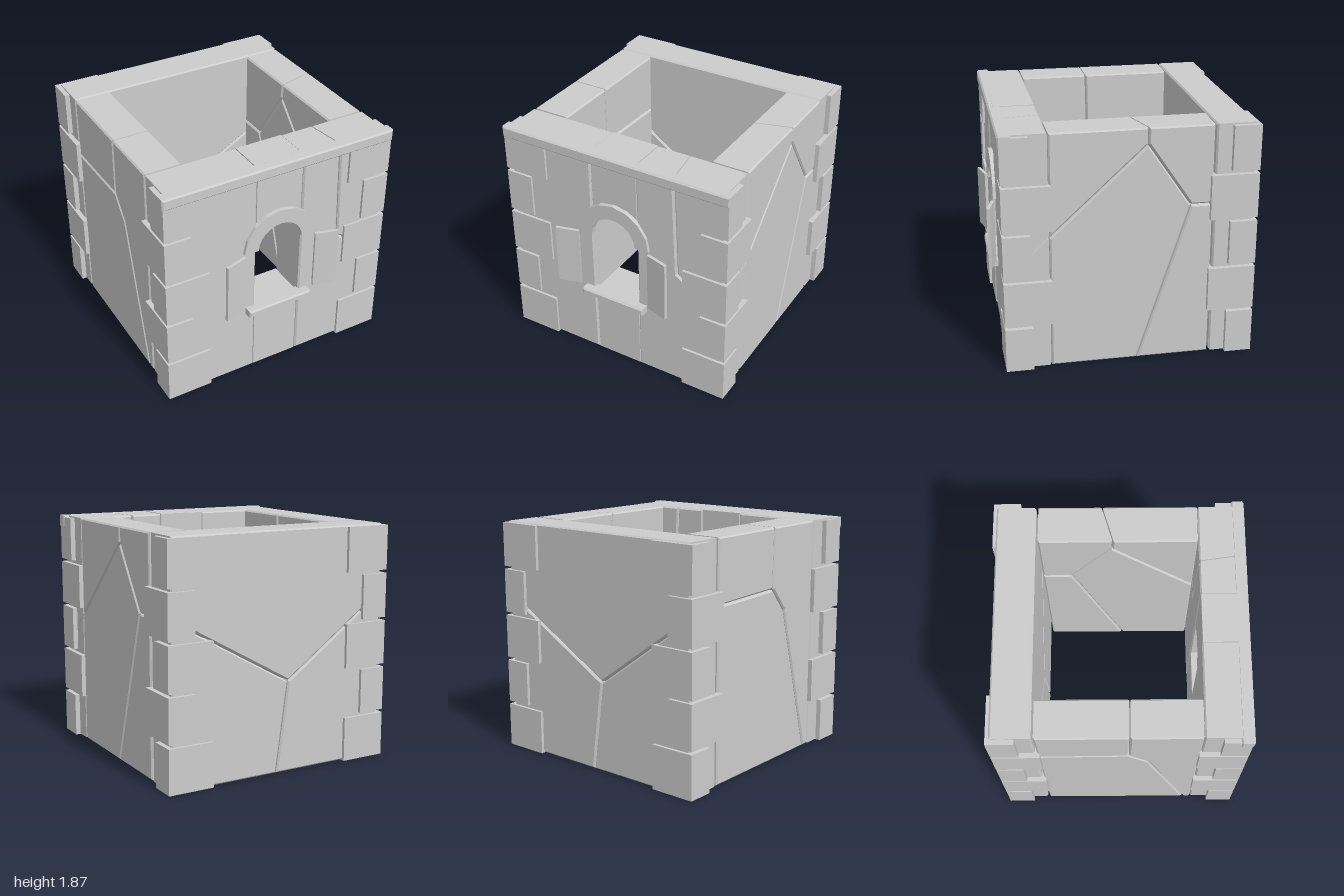
import * as THREE from 'three';

const stone = new THREE.MeshStandardMaterial({ color: 0xcccccc });
stone.name = 'grey stone';

// Shrink a counter-clockwise polygon by d with mitred corners
function inset(pts, d) {
  const n = pts.length;
  return pts.map((p, i) => {
    const a = p.clone().sub(pts[(i + n - 1) % n]).normalize();
    const b = pts[(i + 1) % n].clone().sub(p).normalize();
    const k = d / Math.max(0.3, 1 + a.dot(b));
    return new THREE.Vector2(p.x - (a.y + b.y) * k, p.y + (a.x + b.x) * k);
  });
}

// Bevelled stone slab: points are [u, v] or [u, v, uInner, vInner], depth runs from z0 (inside) to z1 (outside)
function slab(name, points, z0, z1, bevel = 0.012, gap = 0.004) {
  let outer = points.map(p => new THREE.Vector2(p[0], p[1]));
  let inner = points.map(p => new THREE.Vector2(p[2] ?? p[0], p[3] ?? p[1]));
  if (THREE.ShapeUtils.isClockWise(outer)) { outer.reverse(); inner.reverse(); }
  const ring = (pts, d, z) => inset(pts, d).map(p => [p.x, p.y, z]);
  const rings = [
    ring(inner, gap + bevel, z0), ring(inner, gap, z0 + bevel),
    ring(outer, gap, z1 - bevel), ring(outer, gap + bevel, z1),
  ];
  const pos = [];
  const tri = (a, b, c) => pos.push(...a, ...b, ...c);
  const n = outer.length;
  for (let r = 0; r < 3; r++) {
    for (let i = 0; i < n; i++) {
      const j = (i + 1) % n, lo = rings[r], hi = rings[r + 1];
      tri(lo[i], lo[j], hi[j]);
      tri(lo[i], hi[j], hi[i]);
    }
  }
  const cap = (rg, flip) => {
    const flat = rg.map(p => new THREE.Vector2(p[0], p[1]));
    for (const [a, b, c] of THREE.ShapeUtils.triangulateShape(flat, [])) {
      if (flip) tri(rg[c], rg[b], rg[a]); else tri(rg[a], rg[b], rg[c]);
    }
  };
  cap(rings[0], true);
  cap(rings[3], false);
  const geo = new THREE.BufferGeometry();
  geo.setAttribute('position', new THREE.Float32BufferAttribute(pos, 3));
  geo.computeVertexNormals();
  const mesh = new THREE.Mesh(geo, stone);
  mesh.name = name;
  return mesh;
}

const rect = (x0, x1, y0, y1) => [[x0, y0], [x1, y0], [x1, y1], [x0, y1]];

function box(name, x0, x1, y0, y1, z0, z1) {
  const mesh = new THREE.Mesh(new THREE.BoxGeometry(x1 - x0, y1 - y0, z1 - z0), stone);
  mesh.position.set((x0 + x1) / 2, (y0 + y1) / 2, (z0 + z1) / 2);
  mesh.name = name;
  return mesh;
}

// A wall is a set of cracked slabs, turned to face its side
function wall(name, angle, z0, z1, pieces) {
  const g = new THREE.Group();
  g.name = name;
  pieces.forEach(p => g.add(slab(name + 'Stone', p, z0, z1)));
  g.rotation.y = angle;
  return g;
}

export function createModel() {
  const model = new THREE.Group();
  model.name = 'stoneTowerRoom';
  const H = 1.87;

  // Front wall: cracked sides and a centre column with an arched opening
  const archHole = [];
  for (let i = 0; i <= 8; i++) {
    const a = THREE.MathUtils.degToRad(140 - i * 12.5);
    archHole.push([0.19 * Math.cos(a), 1.155 + 0.19 * Math.sin(a)]);
  }
  const fT = [0.51, H, 0.465, H], fJ = [0.54, 1.03, 0.5, 1.12], fE = [0.93, 0.76, 0.93, 1.06];
  model.add(wall('frontWall', 0, 0.575, 0.905, [
    rect(-0.93, -0.195, 0, H),
    [[0.195, 0], [0.93, 0], fE, fJ, fT, [0.195, H]],
    [fT, fJ, fE, [0.93, H]],
  ]));
  model.add(slab('columnBelowWindow', rect(-0.195, 0.195, 0, 0.61), 0.58, 0.895, 0.002, 0.001));
  model.add(slab('columnAboveWindow',
    [[0.195, H], [-0.195, H], [-0.195, archHole[0][1]], ...archHole, [0.195, archHole[8][1]]],
    0.58, 0.895, 0.002, 0.001));

  // Right wall (+x), cracks slant through the thickness; u runs along -z
  const rT = [0.16, H, 0.08, H], rJ = [0.16, 1.74, 0.09, 1.74], rF = [-0.575, 1.06];
  const rK = [0.49, 1.25, 0.42, 1.25], rR = [0.658, 1.25], rB = [0.09, 0, 0.01, 0];
  model.add(wall('rightWall', Math.PI / 2, 0.63, 0.93, [
    [[-0.575, H], rT, rJ, rF],
    [rT, [0.658, H], rR, rK, rJ],
    [rF, rJ, rK, rB, [-0.575, 0]],
    [rK, rR, [0.658, 0], rB],
  ]));

  // Left wall (-x), u runs along z
  const lT = [0.04, H], lJ = [0.03, 1.39], lK = [0.18, 1.21], lB = [0.51, 0], lE = [-0.658, 1.37];
  model.add(wall('leftWall', -Math.PI / 2, 0.63, 0.93, [
    [[-0.658, H], lT, lJ, lE],
    [lE, lJ, lK, lB, [-0.658, 0]],
    [lT, [0.575, H], [0.575, 0], lB, lK, lJ],
  ]));

  // Back wall, u runs along -x
  const bJ = [0.07, 0.717], bB = [-0.03, 0], bL = [-0.93, 1.28], bR = [0.93, 1.33];
  model.add(wall('backWall', Math.PI, 0.67, 0.975, [
    [[-0.93, H], [0.93, H], bR, bJ, bL],
    [bL, bJ, bB, [-0.93, 0]],
    [bR, bJ, bB, [0.93, 0]],
  ]));

  // Corner stones, alternating long and short on each face
  for (let i = 0; i < 5; i++) {
    const y0 = i * 0.376, y1 = y0 + 0.35;
    const lx = i % 2 ? 0.22 : 0.37, lz = i % 2 ? 0.365 : 0.21;
    for (const s of [-1, 1]) {
      const x0 = s > 0 ? 0.965 - lx : -0.965, x1 = x0 + lx;
      model.add(box('frontCornerStone', x0, x1, y0, y1, 0.925 - lz, 0.925));
      model.add(box('backCornerStone', x0, x1, y0, y1, -1, -1 + lz));
    }
  }

  // Moulding along the top of the front and the window sill
  model.add(slab('topMoulding', rect(-0.972, 0.972, 1.777, 1.868), 0.835, 0.935, 0.012, 0));
  model.add(slab('windowSill', rect(-0.28, 0.275, 0.57, 0.628), 0.86, 0.975, 0.012, 0));

  // Raised arch over the window
  const arch = new THREE.Shape();
  const segs = 8;
  for (let i = 0; i <= segs; i++) {
    const a = Math.PI * i / segs;
    arch[i ? 'lineTo' : 'moveTo'](0.31 * Math.cos(a), 1.16 + 0.305 * Math.sin(a));
  }
  for (let i = 12; i >= 0; i--) {
    const a = Math.PI * i / 12;
    arch.lineTo(0.19 * Math.cos(a), 1.16 + 0.185 * Math.sin(a));
  }
  const archMesh = new THREE.Mesh(
    new THREE.ExtrudeGeometry(arch, { depth: 0.045, bevelEnabled: false }), stone);
  archMesh.position.z = 0.885;
  archMesh.name = 'windowArch';
  model.add(archMesh);

  // Open shutters, angled out from the wall
  for (const s of [-1, 1]) {
    const shutter = new THREE.Mesh(new THREE.BoxGeometry(0.187, 0.5, 0.025), stone);
    shutter.position.set(s * 0.4, 0.898, 0.959);
    shutter.rotation.y = -s * 0.26;
    shutter.name = 'shutter';
    model.add(shutter);
  }
  return model;
}
